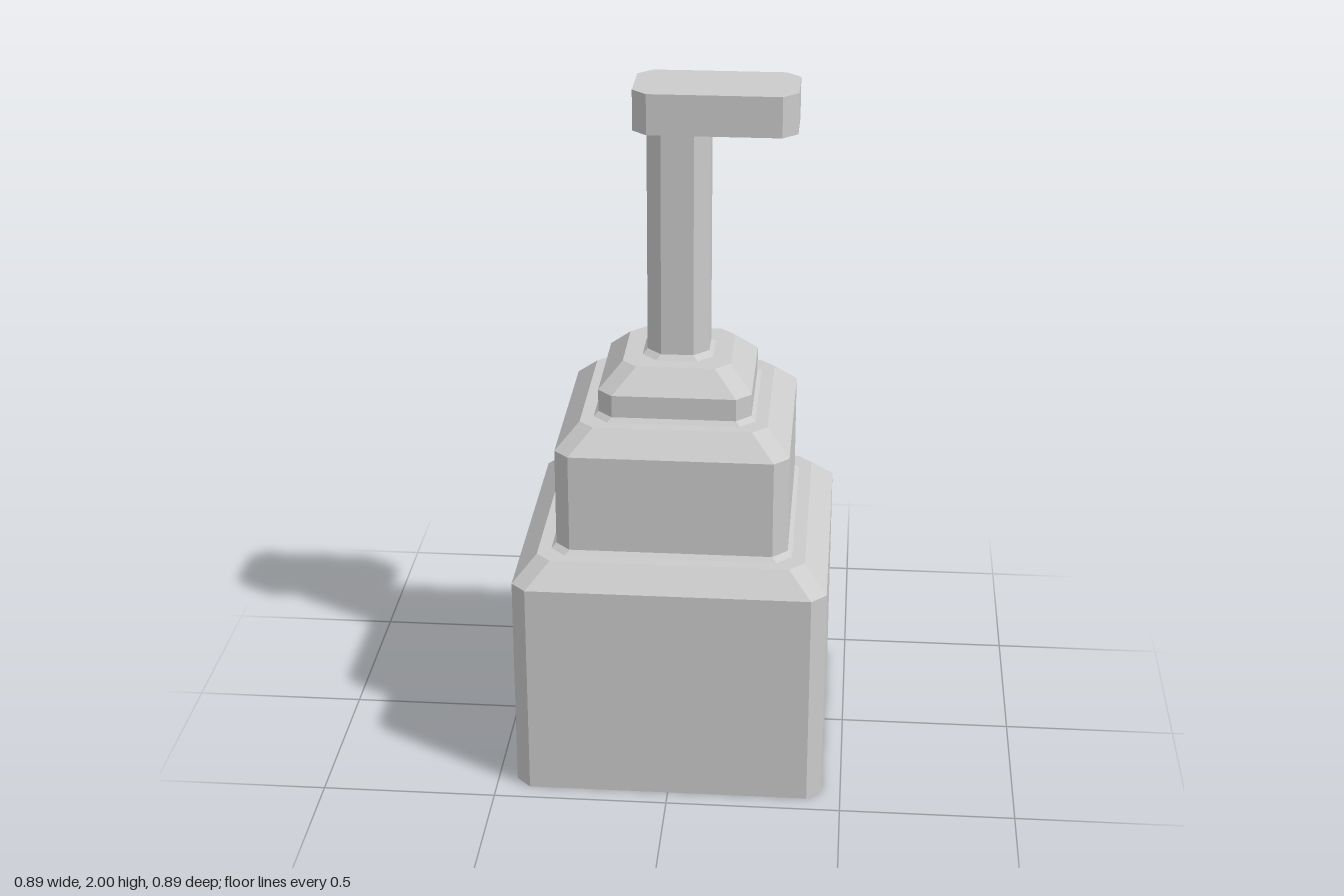
import * as THREE from 'three';

const CUT = 0.042; // corner chamfer shared by every block

// Chamfered rectangle at height y, counterclockwise seen from above
function ring(y, hx, hz, cx = 0) {
  const a = hx - CUT, b = hz - CUT;
  return [[hx, b], [hx, -b], [a, -hz], [-a, -hz], [-hx, -b], [-hx, b], [-a, hz], [a, hz]]
    .map(([x, z]) => [cx + x, y, z]);
}

// Closed solid through a stack of rings, bottom to top
function loft(rings, material, name) {
  const pos = [];
  const tri = (...pts) => pts.forEach((p) => pos.push(...p));
  for (let k = 0; k < rings.length - 1; k++) {
    const lo = rings[k], hi = rings[k + 1];
    for (let i = 0; i < 8; i++) {
      const j = (i + 1) % 8;
      tri(lo[i], lo[j], hi[j]);
      tri(lo[i], hi[j], hi[i]);
    }
  }
  const bottom = rings[0], top = rings[rings.length - 1];
  for (let i = 1; i < 7; i++) {
    tri(bottom[0], bottom[i + 1], bottom[i]);
    tri(top[0], top[i], top[i + 1]);
  }
  const geometry = new THREE.BufferGeometry();
  geometry.setAttribute('position', new THREE.Float32BufferAttribute(pos, 3));
  geometry.computeVertexNormals();
  const mesh = new THREE.Mesh(geometry, material);
  mesh.name = name;
  return mesh;
}

export function createModel() {
  const group = new THREE.Group();
  group.name = 'steppedTower';
  const material = new THREE.MeshStandardMaterial({ color: 0xcccccc, flatShading: true });

  // Square tiers and post: [height, half width] profiles
  const tiers = {
    baseBlock: [[0, 0.445], [0.645, 0.445], [0.71, 0.38]],
    middleBlock: [[0.71, 0.343], [0.722, 0.33], [1.01, 0.33], [1.075, 0.265]],
    upperBlock: [[1.075, 0.229], [1.087, 0.217], [1.152, 0.217], [1.217, 0.153]],
    post: [[1.217, 0.101], [1.23, 0.088], [1.885, 0.088]],
  };
  for (const [name, profile] of Object.entries(tiers)) {
    group.add(loft(profile.map(([y, h]) => ring(y, h, h)), material, name));
  }

  // Bar on top of the post, reaching out towards +x
  group.add(loft([1.885, 2].map((y) => ring(y, 0.227, 0.123, 0.103)), material, 'topBar'));
  return group;
}
